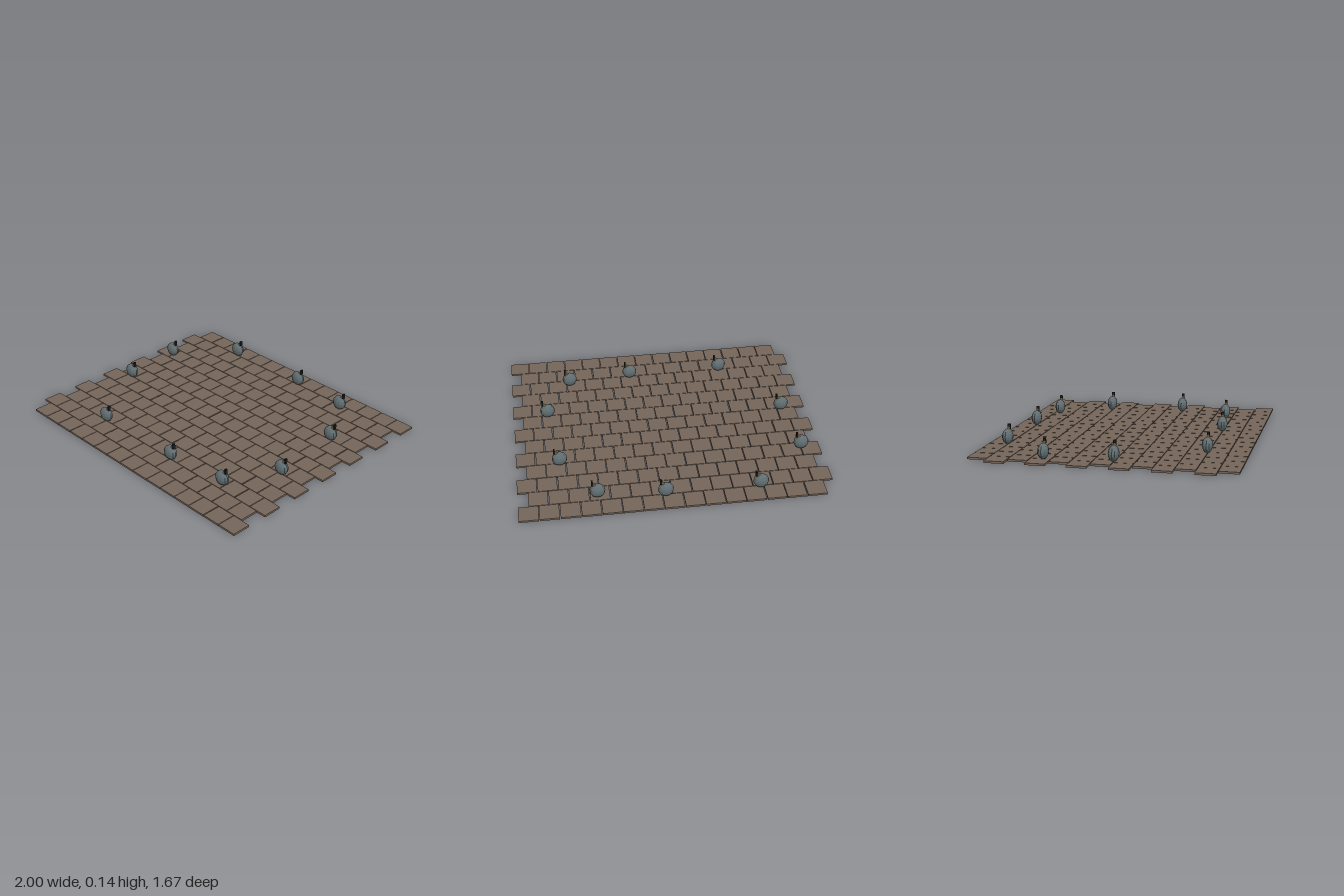
import * as THREE from 'three';

const ROWS = 13, COLS = 15, PITCH = 0.129, TOP = 0.013;

// Small seeded generator for the uneven paving
function seeded(seed) {
  return () => (seed = (seed * 16807) % 2147483647) / 2147483647;
}

const material = (color) => new THREE.MeshStandardMaterial({ color, flatShading: true });

function part(name, geometry, mat, x, y, z) {
  const mesh = new THREE.Mesh(geometry, mat);
  mesh.name = name;
  mesh.position.set(x, y, z);
  return mesh;
}

export function createModel() {
  const model = new THREE.Group();
  model.name = 'pavedFloorWithPots';
  const stone = material(0x75655a), shell = material(0x606d70);
  const dark = material(0x1c1c1c), tan = material(0xa8874f);

  // Paving laid in a running bond, alternate rows shifted half a stone
  const paving = new THREE.Group();
  paving.name = 'paving';
  const rand = seeded(71);
  const slab = new THREE.BoxGeometry(1, TOP, 1);
  for (let r = 0; r < ROWS; r++) {
    const shift = r % 2 ? -PITCH / 4 : PITCH / 4;
    for (let c = 0; c < COLS; c++) {
      const x = (c - (COLS - 1) / 2) * PITCH + shift + (rand() - 0.5) * 0.002;
      const z = (r - (ROWS - 1) / 2) * PITCH;
      const stoneMesh = part('pavingStone', slab, stone, x, TOP / 2, z);
      stoneMesh.scale.set(0.122 + rand() * 0.004, 1, 0.124 + rand() * 0.002);
      stoneMesh.rotation.y = (rand() - 0.5) * 0.01;
      paving.add(stoneMesh);
    }
  }
  model.add(paving);

  // Flattened faceted bulb with a small collar and an upright dark tip
  const bulb = new THREE.SphereGeometry(0.05, 12, 8);
  bulb.scale(1, 1, 0.7);
  const collar = new THREE.CylinderGeometry(0.007, 0.011, 0.022, 8);
  const tip = new THREE.BoxGeometry(0.011, 0.034, 0.018);
  const spots = [
    [-0.53, -0.715], [0.075, -0.715], [0.5, -0.67], [-0.87, -0.37], [0.715, -0.33],
    [-0.83, 0.06], [0.765, 0.19], [-0.485, 0.575], [0.16, 0.575], [0.59, 0.535],
  ];
  for (const [x, z] of spots) {
    const pot = new THREE.Group();
    pot.name = 'pot';
    pot.position.set(x, 0, z);
    const neck = part('collar', collar, tan, 0.019, 0.108, 0);
    neck.rotation.z = -0.6;
    pot.add(part('bulb', bulb, shell, 0, 0.061, 0), neck, part('tip', tip, dark, 0.032, 0.12, 0));
    model.add(pot);
  }
  return model;
}
